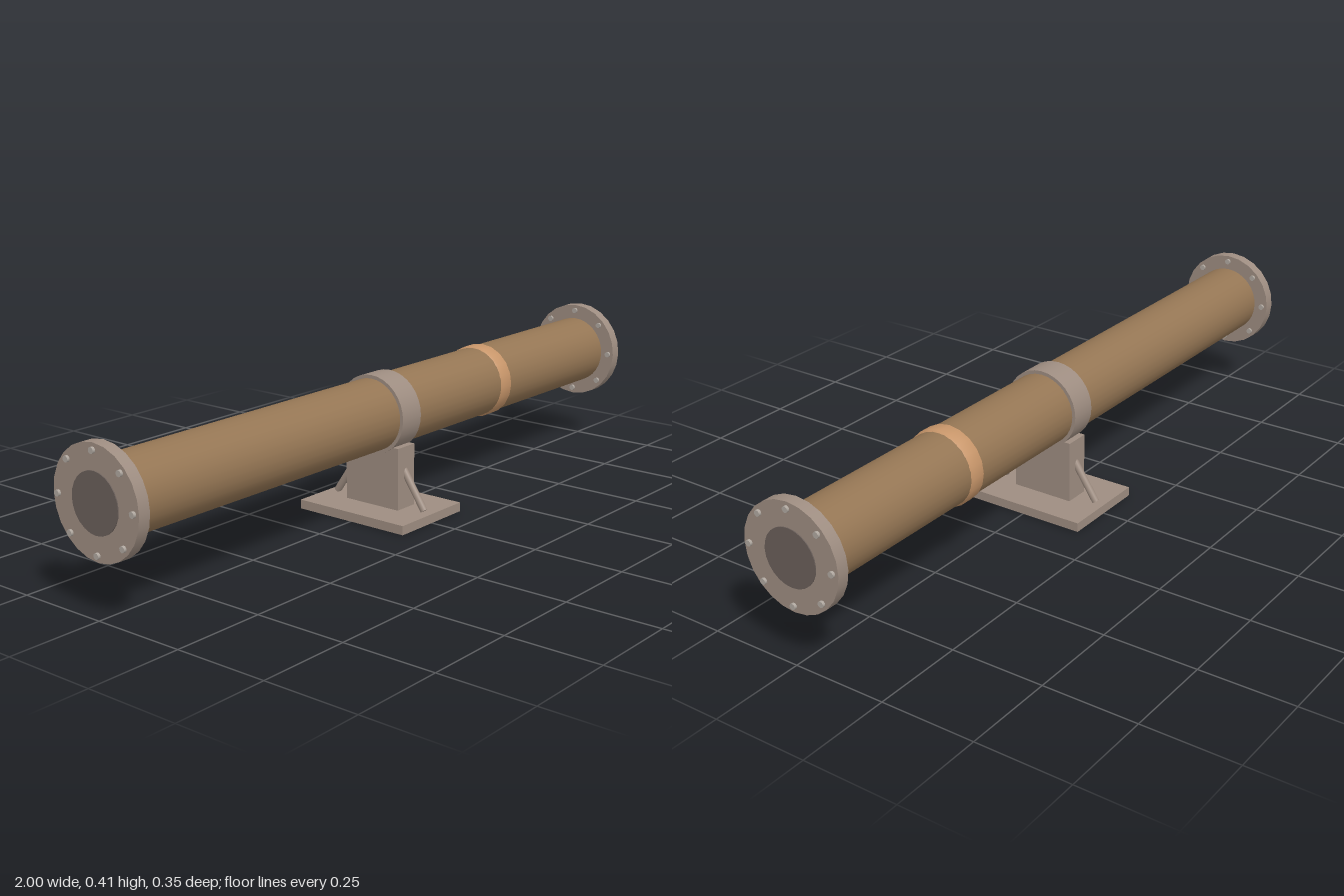
import * as THREE from 'three';

const AXIS_Y = 0.275;

function material(name, color) {
  const m = new THREE.MeshStandardMaterial({ color });
  m.name = name;
  return m;
}

export function createModel() {
  const steel = material('warm grey steel', 0x9e8d81);
  const brown = material('brown pipe paint', 0x957654);
  const copper = material('copper band', 0xc8966a);
  const boltGrey = material('light bolt grey', 0xb0a8a0);
  const dark = material('dark bore', 0x6a5f5a);

  const root = new THREE.Group();
  root.name = 'pipeOnStand';

  function add(parent, name, geometry, mat, x = 0, y = 0, z = 0) {
    const mesh = new THREE.Mesh(geometry, mat);
    mesh.name = name;
    mesh.position.set(x, y, z);
    parent.add(mesh);
    return mesh;
  }
  // Cylinder lying along x, with a vertex at the top
  const rod = (radius, length, sides) =>
    new THREE.CylinderGeometry(radius, radius, length, sides)
      .rotateY(Math.PI / 2).rotateZ(Math.PI / 2);

  // Pipe and its clamp share the raised axis
  const pipe = new THREE.Group();
  pipe.name = 'pipeAssembly';
  pipe.position.y = AXIS_Y;
  root.add(pipe);
  add(pipe, 'pipe', rod(0.0975, 1.94, 32), brown);
  add(pipe, 'clamp', rod(0.107, 0.076, 32), steel);

  // Chamfered marker band
  const bandProfile = [[0.094, -0.028], [0.1025, -0.019], [0.1025, 0.019], [0.094, 0.028]]
    .map(([r, x]) => new THREE.Vector2(r, x));
  const band = new THREE.LatheGeometry(bandProfile, 20).rotateZ(-Math.PI / 2);
  add(pipe, 'markerBand', band, copper, 0.446);

  // Bolted flanges with the bore shown on the outer face
  for (const side of [-1, 1]) {
    const flange = new THREE.Group();
    flange.name = side > 0 ? 'leftFlange' : 'rightFlange';
    pipe.add(flange);
    add(flange, 'flangeDisc', rod(0.139, 0.032, 24), steel, side * 0.977);
    add(flange, 'bore', rod(0.075, 0.004, 24), dark, side * 0.9935);
    const boltGeometry = rod(0.008, 0.046, 10);
    for (let i = 0; i < 8; i++) {
      const a = i * Math.PI / 4;
      add(flange, 'bolt', boltGeometry, boltGrey,
        side * 0.977, 0.122 * Math.cos(a), 0.122 * Math.sin(a));
    }
  }

  // Stand: base plate, pedestal and a slanted brace on each side
  const stand = new THREE.Group();
  stand.name = 'stand';
  root.add(stand);
  add(stand, 'basePlate', new THREE.BoxGeometry(0.25, 0.025, 0.35), steel, 0, 0.0125);
  add(stand, 'pedestal', new THREE.BoxGeometry(0.07, 0.17, 0.176), steel, 0, 0.11);
  const up = new THREE.Vector3(0, 1, 0);
  for (const side of [-1, 1]) {
    const foot = new THREE.Vector3(0, 0.028, side * 0.149);
    const head = new THREE.Vector3(0, 0.133, side * 0.078);
    const along = head.clone().sub(foot);
    const brace = add(stand, 'brace',
      new THREE.CylinderGeometry(0.01, 0.01, along.length(), 12), steel);
    brace.position.copy(foot).add(head).multiplyScalar(0.5);
    brace.quaternion.setFromUnitVectors(up, along.normalize());
  }
  return root;
}
